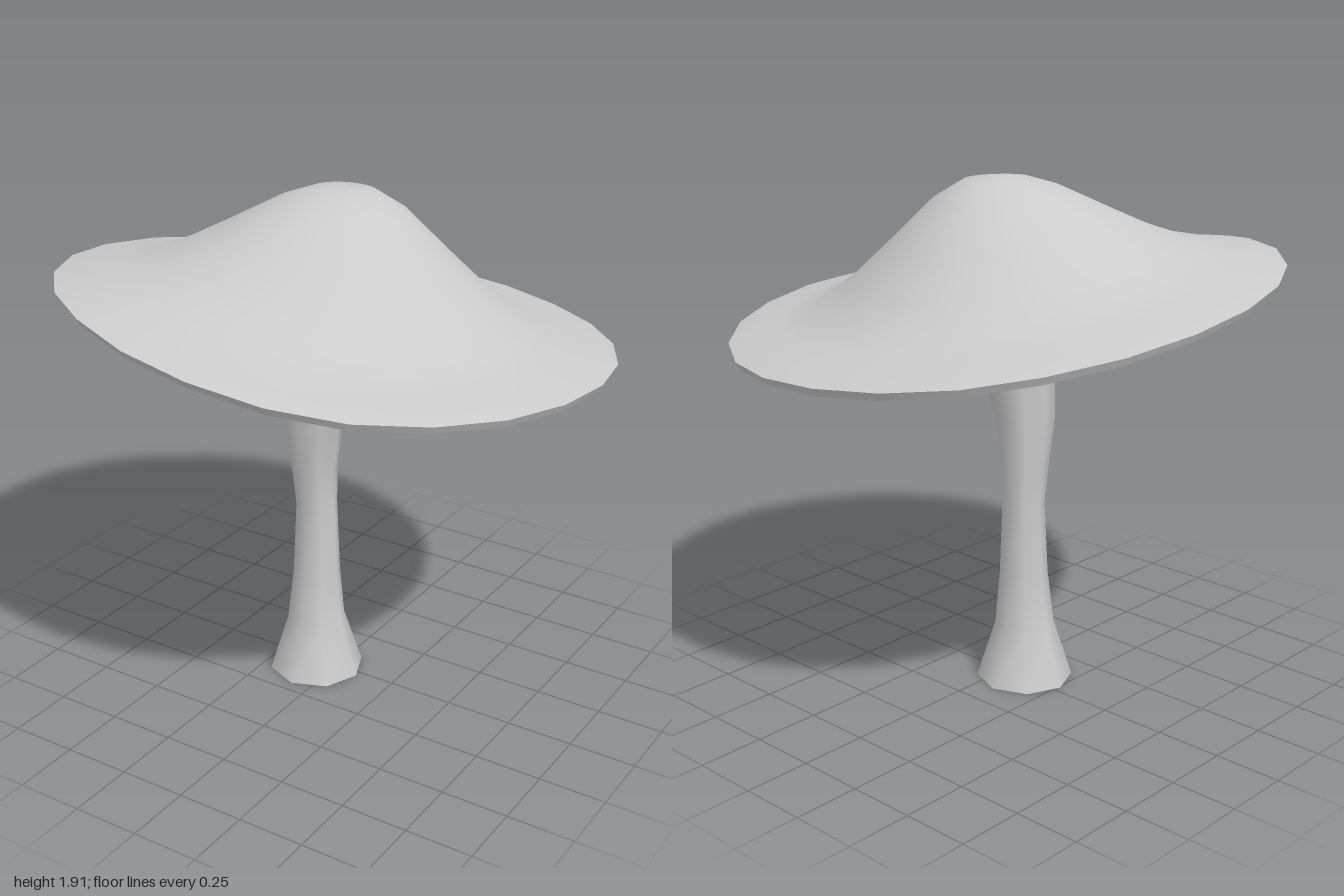
import * as THREE from 'three';
import { toCreasedNormals } from 'three/addons/utils/BufferGeometryUtils.js';

const CAP_SIDES = 24;
const STEM_SIDES = 8;
const APEX = 1.91;

// Skin between closed rings of equal size, listed from the bottom up
function loft(rings, crease) {
  const n = rings[0].length;
  const index = [];
  for (let i = 0; i < rings.length - 1; i++) {
    for (let j = 0; j < n; j++) {
      const k = (j + 1) % n;
      const a = i * n + j, b = i * n + k, c = a + n, d = b + n;
      index.push(a, c, b, b, c, d);
    }
  }
  const geometry = new THREE.BufferGeometry().setFromPoints(rings.flat());
  geometry.setIndex(index);
  if (crease) return toCreasedNormals(geometry, crease);
  geometry.computeVertexNormals();
  return geometry;
}

// Wavy rim height, one value every 30 degrees from +x towards +z
const RIM = [1.37, 1.40, 1.45, 1.54, 1.61, 1.60, 1.545, 1.46, 1.375, 1.325, 1.305, 1.33];
function rimHeight(angle) {
  const u = ((angle / (Math.PI * 2)) * 12 + 12) % 12;
  const i = Math.floor(u);
  const f = u - i;
  const at = (k) => RIM[(k + 12) % 12];
  const [a, b, c, d] = [at(i - 1), at(i), at(i + 1), at(i + 2)];
  return b + 0.5 * f * (c - a + f * (2 * a - 5 * b + 4 * c - d + f * (3 * (b - c) + d - a)));
}

// One ring of the cap: radius, rise (0 rim to 1 apex), rim offset, apex drop
function capRing(radius, rise, offset, drop) {
  return Array.from({ length: CAP_SIDES }, (_, j) => {
    const angle = ((j - 0.27) / CAP_SIDES) * Math.PI * 2;
    const rim = rimHeight(angle) + offset;
    return new THREE.Vector3(
      radius * Math.cos(angle),
      rim + (APEX - drop - rim) * rise,
      radius * 0.975 * Math.sin(angle) - 0.05 * (1 - radius),
    );
  });
}

function buildCap() {
  // radius and rise, from the centre outwards
  const profile = [[0.001, 1], [0.12, 0.965], [0.23, 0.85], [0.4, 0.57],
    [0.55, 0.33], [0.68, 0.17], [0.8, 0.09], [0.91, 0.055]];
  const under = profile.map(([r, p]) => capRing(r, p, -0.02, 0.09));
  const lip = [capRing(0.985, 0, -0.018, 0), capRing(1, 0, 0.01, 0)];
  const top = profile.map(([r, p]) => capRing(r, p, 0.01, 0)).reverse();
  return loft([...under, ...lip, ...top], 0.6);
}

function buildStem() {
  // height, x extent, z extent
  const sections = [
    [0, -0.26, 0.105, -0.15, 0.205],
    [0.22, -0.19, 0.035, -0.08, 0.135],
    [0.42, -0.165, 0.015, -0.065, 0.115],
    [0.7, -0.155, 0, -0.06, 0.098],
    [0.85, -0.162, 0.002, -0.068, 0.12],
    [1.03, -0.177, 0.025, -0.09, 0.148],
    [1.2, -0.182, 0.07, -0.12, 0.152],
    [1.38, -0.19, 0.135, -0.17, 0.158],
    [1.55, -0.21, 0.2, -0.22, 0.18],
    [1.64, -0.19, 0.19, -0.21, 0.16],
    [1.72, -0.15, 0.15, -0.17, 0.12],
  ];
  const rings = sections.map(([y, x0, x1, z0, z1]) =>
    Array.from({ length: STEM_SIDES }, (_, j) => {
      const angle = (j / STEM_SIDES) * Math.PI * 2;
      return new THREE.Vector3(
        (x0 + x1) / 2 + ((x1 - x0) / 2) * Math.cos(angle),
        y,
        (z0 + z1) / 2 + ((z1 - z0) / 2) * Math.sin(angle),
      );
    }));
  return loft(rings);
}

export function createModel() {
  const group = new THREE.Group();
  group.name = 'mushroom';
  const add = (name, geometry, side) => {
    const material = new THREE.MeshStandardMaterial({ color: 0xcccccc, side });
    const mesh = new THREE.Mesh(geometry, material);
    mesh.name = name;
    group.add(mesh);
  };
  add('cap', buildCap(), THREE.FrontSide);
  // The stem is open at the foot
  add('stem', buildStem(), THREE.DoubleSide);
  return group;
}
